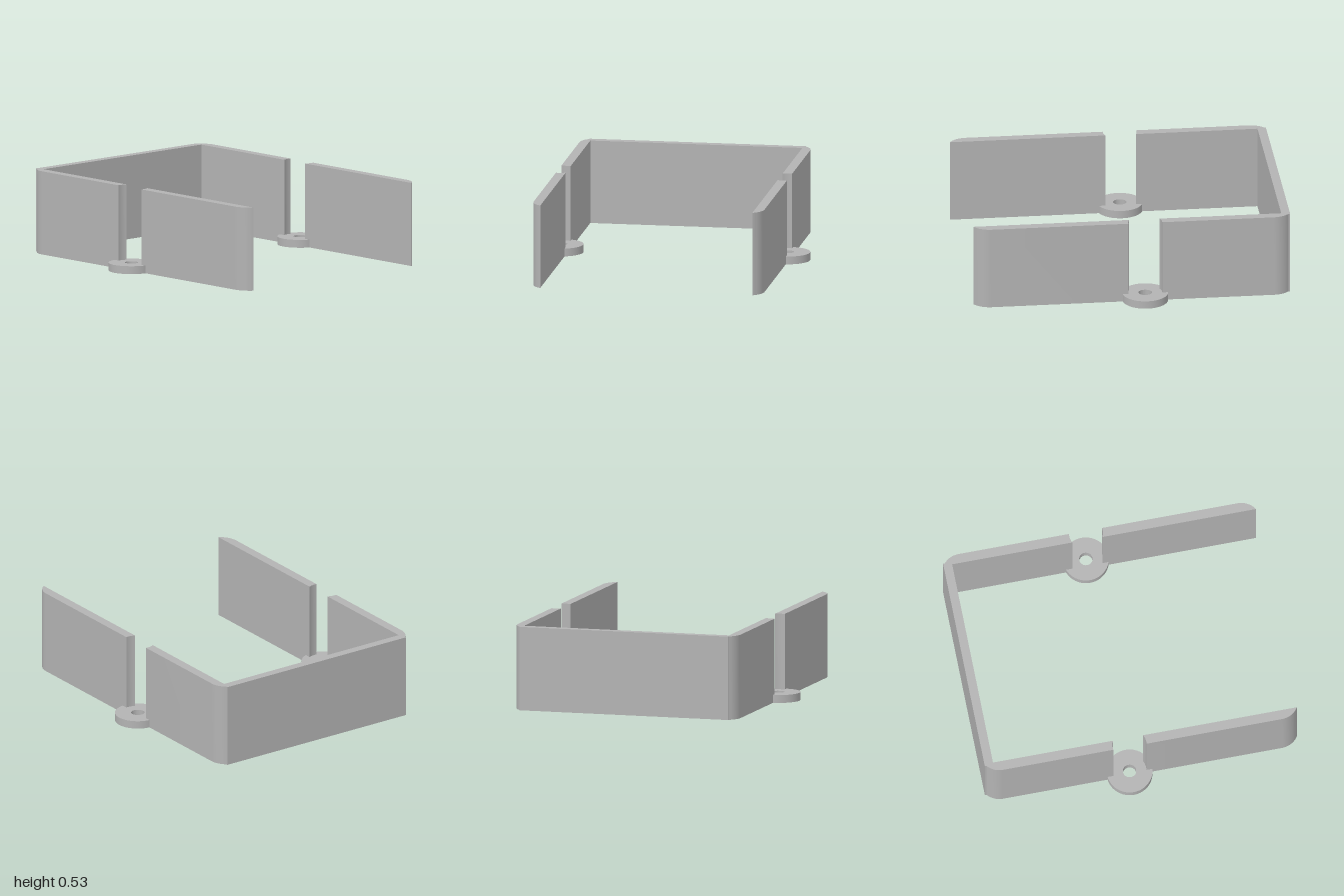
import * as THREE from 'three';
import { toCreasedNormals } from 'three/addons/utils/BufferGeometryUtils.js';

const HEIGHT = 0.53, OUTER = 0.735, INNER = 0.675;
const TAB_X = -0.08, TAB_Z = 0.722, TAB_R = 0.144, TAB_H = 0.05;
const HOLE_R = 0.042, CLEAR_R = 0.107, CORNER_R = 0.125;

// points of an arc, angles in radians
function arc(cx, cy, r, a0, a1, n = 12) {
  return Array.from({ length: n + 1 }, (_, i) => {
    const a = a0 + ((a1 - a0) * i) / n;
    return new THREE.Vector2(cx + r * Math.cos(a), cy + r * Math.sin(a));
  });
}

// raise a plan outline (x, -z) up from the ground
function raise(shape, height) {
  const geo = new THREE.ExtrudeGeometry(shape, { depth: height, bevelEnabled: false, curveSegments: 32 });
  geo.rotateX(-Math.PI / 2);
  return toCreasedNormals(geo, 0.5);
}

// wall section from the screw clearance to the rounded outer end; dir = -1 or 1 along x
function wallShape(dir, side) {
  const cy = OUTER - CORNER_R;
  const tip = Math.asin((INNER - cy) / CORNER_R);
  const cx = 1 - CORNER_R * Math.cos(tip);
  const a0 = Math.asin((INNER - TAB_Z) / CLEAR_R);
  const a1 = Math.asin((OUTER - TAB_Z) / CLEAR_R);
  const pts = [
    ...arc(TAB_X * dir, TAB_Z, CLEAR_R, a0, a1, 6),
    ...arc(cx, cy, CORNER_R, Math.PI / 2, tip),
  ];
  return new THREE.Shape(pts.map((p) => new THREE.Vector2(p.x * dir, -p.y * side)));
}

export function createModel() {
  const model = new THREE.Group();
  model.name = 'bracketFrame';
  const grey = new THREE.MeshStandardMaterial({ color: 0xb3b3b3 });
  grey.name = 'grey';

  const add = (geo, name) => {
    const mesh = new THREE.Mesh(geo, grey);
    mesh.name = name;
    model.add(mesh);
    return mesh;
  };

  // end wall joining the two sides
  add(new THREE.BoxGeometry(0.055, HEIGHT, 1.38), 'endWall').position.set(-0.9725, HEIGHT / 2, 0);

  for (const side of [-1, 1]) {
    const label = side > 0 ? 'front' : 'back';

    // short and long wall sections
    add(raise(wallShape(-1, side), HEIGHT), label + 'ShortWall');
    add(raise(wallShape(1, side), HEIGHT), label + 'LongWall');

    // screw tab with a hole
    const tab = new THREE.Shape().absarc(TAB_X, -TAB_Z * side, TAB_R, 0, Math.PI * 2);
    tab.holes.push(new THREE.Path().absarc(TAB_X, -TAB_Z * side, HOLE_R, 0, Math.PI * 2, true));
    add(raise(tab, TAB_H), label + 'ScrewTab');
  }
  return model;
}
